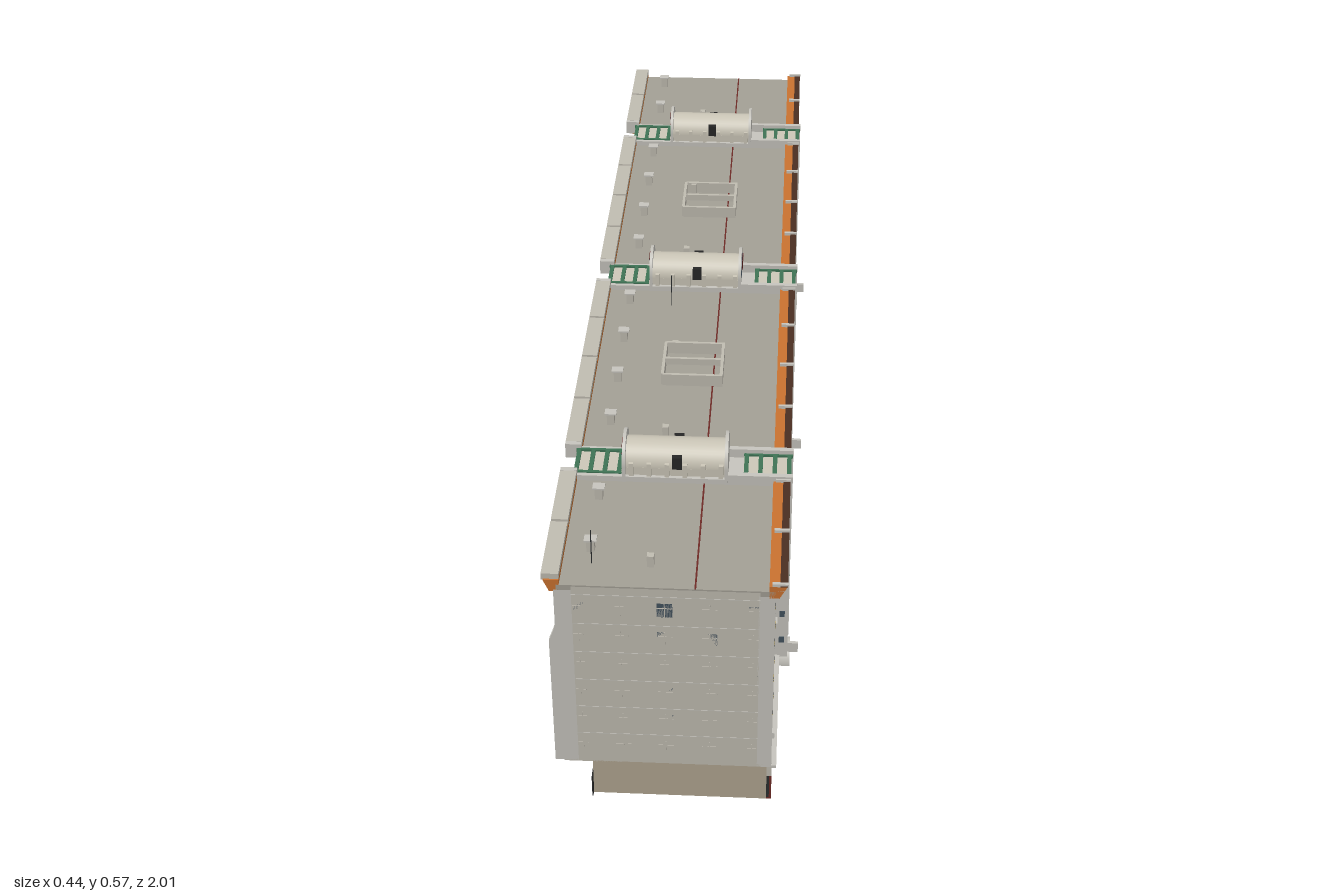
import * as THREE from 'three';
import { mergeGeometries } from 'three/addons/utils/BufferGeometryUtils.js';

const C = {
  wall: 0xc0bcb1, light: 0xc6c4bd, base: 0xb0a590, roof: 0xa3a095, orange: 0xc97230,
  yellow: 0xb89c4c, red: 0x95503e, green: 0x6f9075, glass: 0x43525e, dark: 0x2b2e2f,
  maroon: 0x6e2a26, frame: 0x3f7355, vault: 0xccc7b8, door: 0x262626, brown: 0x4a2f22,
};
const ROWS = [0, 1, 2, 3, 4, 5].map(i => 0.12 + i * 0.064);
const TOWERS = [-0.6625, 0, 0.6625];
const BLOCKS = [
  [-1, -0.705, ['yellow', 'red']],
  [-0.62, -0.043, ['green', 'green', 'red', 'red']],
  [0.043, 0.62, ['red', 'yellow', 'yellow', 'yellow']],
  [0.705, 1, ['yellow', 'yellow']],
];

// Collects geometry by part name and merges each part into one mesh
function kit(groupName) {
  const parts = new Map();
  const add = (name, color, geo) => {
    if (!parts.has(name)) parts.set(name, { color, list: [] });
    parts.get(name).list.push(geo.index ? geo.toNonIndexed() : geo);
  };
  const box = (name, color, x0, x1, y0, y1, z0, z1) => add(name, color,
    new THREE.BoxGeometry(Math.abs(x1 - x0), Math.abs(y1 - y0), Math.abs(z1 - z0))
      .translate((x0 + x1) / 2, (y0 + y1) / 2, (z0 + z1) / 2));
  // x,y outline swept along z
  const sweep = (name, color, pts, z0, z1) => add(name, color,
    new THREE.ExtrudeGeometry(new THREE.Shape(pts.map(p => new THREE.Vector2(...p))),
      { depth: z1 - z0, bevelEnabled: false }).translate(0, 0, z0));
  const finish = () => {
    const group = new THREE.Group();
    group.name = groupName;
    for (const [name, { color, list }] of parts) {
      const mesh = new THREE.Mesh(mergeGeometries(list), new THREE.MeshStandardMaterial({ color }));
      mesh.name = name;
      group.add(mesh);
    }
    return group;
  };
  return { add, box, sweep, finish };
}

// Window with cross bars on a facade facing x (side s)
function sideWindow(k, x, s, y, z, w, h) {
  k.box('windows', C.glass, x, x + s * 0.002, y - h / 2, y + h / 2, z - w / 2, z + w / 2);
  k.box('windowBars', C.light, x, x + s * 0.003, y - h / 2, y + h / 2, z - 0.001, z + 0.001);
  k.box('windowSills', C.light, x, x + s * 0.005, y - h / 2 - 0.003, y - h / 2, z - w / 2 - 0.002, z + w / 2 + 0.002);
}

// Half of a facade module: a window bay and a stack of balconies
function facadeUnit(k, s, z0, z1, color, flip, seed) {
  const fx = d => (s > 0 ? 0.15 + d : -0.17 - d);
  const at = t => (flip ? z1 - (z1 - z0) * t : z0 + (z1 - z0) * t);
  const tint = C[color];
  k.box(color + 'Bay', tint, fx(0), fx(0.018), 0.084, 0.478, at(0.03), at(0.5));
  k.box(color + 'Pier', tint, fx(0), fx(0.022), 0.084, 0.478, at(0.5), at(0.54));
  k.box(color + 'Pier', tint, fx(0), fx(0.022), 0.084, 0.478, at(0.97), at(1));
  k.box(color + 'Back', tint, fx(0), fx(0.002), 0.084, 0.478, at(0.54), at(0.97));
  ROWS.forEach((y, i) => {
    sideWindow(k, fx(0.018), s, y, at(0.27), 0.046, 0.03);
    // balcony door, slab and railing
    sideWindow(k, fx(0.002), s, y - 0.002, at(0.755), 0.052, 0.046);
    k.box(color + 'Slab', tint, fx(0), fx(0.026), y - 0.034, y - 0.02, at(0.52), at(0.99));
    if (i < 5) {
      k.box('railings', C.dark, fx(0.024), fx(0.026), y - 0.006, y - 0.003, at(0.53), at(0.98));
      for (let j = 0; j < 9; j++) {
        const z = at(0.55 + j * 0.052);
        k.box('railings', C.dark, fx(0.024), fx(0.0255), y - 0.02, y - 0.004, z - 0.0012, z + 0.0012);
      }
    }
    if ((i * 5 + seed * 3) % 7 === 0)
      k.box('coolingUnits', C.light, fx(0.018), fx(0.03), y - 0.03, y - 0.017, at(0.42), at(0.54));
  });
  k.box(color + 'Lintel', tint, fx(0), fx(0.02), 0.462, 0.478, at(0.52), at(0.99));
}

function buildBlock([z0, z1, colors], index) {
  const k = kit('apartmentBlock');
  const step = (z1 - z0) / colors.length;
  k.box('core', C.wall, -0.17, 0.15, 0.08, 0.486, z0, z1);
  k.box('floorSlab', C.wall, -0.195, 0.172, 0.078, 0.086, z0, z1);
  k.box('roof', C.roof, -0.195, 0.175, 0.478, 0.489, z0, z1);
  // flared cornices and back parapet
  k.sweep('cornice', C.orange, [[0.165, 0.475], [0.182, 0.475], [0.195, 0.5], [0.165, 0.5]], z0, z1);
  k.box('corniceCap', C.brown, 0.183, 0.196, 0.5, 0.502, z0, z1);
  k.sweep('cornice', C.orange, [[-0.19, 0.475], [-0.19, 0.499], [-0.217, 0.499], [-0.207, 0.475]], z0, z1);
  colors.forEach((c, i) => {
    const a = z0 + i * step;
    for (const s of [1, -1]) facadeUnit(k, s, a, a + step, c, i % 2 === 1, i + index * 2 + (s > 0 ? 0 : 3));
    k.box('parapet', C.wall, -0.22, -0.19, 0.497, 0.51, a + 0.003, a + step - 0.003);
  });
  // dividing fins, bulging on the back
  for (let i = 0; i <= colors.length; i += 2) {
    const z = Math.min(Math.max(z0 + i * step, z0 + 0.005), z1 - 0.005);
    k.sweep('backFins', C.light, [[-0.165, 0.08], [-0.165, 0.478], [-0.2, 0.478], [-0.2, 0.4], [-0.204, 0.385], [-0.212, 0.363], [-0.212, 0.08]], z - 0.005, z + 0.005);
    k.box('frontFins', C.light, 0.148, 0.176, 0.08, 0.478, z - 0.005, z + 0.005);
  }
  // cornice brackets
  for (let i = 0; i <= colors.length; i++) {
    const z = Math.min(Math.max(z0 + i * step, z0 + 0.003), z1 - 0.003);
    k.box('brackets', C.light, 0.17, 0.197, 0.49, 0.506, z - 0.003, z + 0.003);
  }
  // windows of the open gable end
  const dir = index === 0 ? -1 : index === 3 ? 1 : 0;
  if (dir) for (const y of ROWS) {
    for (const x of [-0.16, -0.088, -0.012, 0.065, 0.14]) {
      const w = Math.abs(x) > 0.13 ? 0.009 : 0.0135;
      k.box('gableWindows', C.glass, x - w, x + w, y - 0.015, y + 0.015, dir, dir * 0.999);
      k.box('gableWindowBars', C.wall, x - 0.0008, x + 0.0008, y - 0.015, y + 0.015, dir, dir * 1.0008);
      k.box('gableWindowBars', C.wall, x - w, x + w, y + 0.004, y + 0.0055, dir, dir * 1.0008);
    }
    k.box('gableJoints', C.light, -0.17, 0.15, y + 0.0285, y + 0.0295, dir, dir * 1.0006);
  }
  // roof vents, painted line and framed hatch
  k.box('roofLine', C.maroon, 0.039, 0.042, 0.489, 0.49, z0, z1);
  colors.forEach((c, i) => {
    const z = z0 + (i + 0.35) * step;
    k.box('vents', C.wall, -0.152, -0.138, 0.489, 0.512, z - 0.007, z + 0.007);
    k.box('ventCaps', C.light, -0.156, -0.134, 0.512, 0.515, z - 0.009, z + 0.009);
    if (i % 2) k.box('vents', C.wall, -0.045, -0.033, 0.489, 0.512, z + 0.03, z + 0.042);
  });
  if (colors.length === 4) {
    const m = Math.sign(z0 + z1) * 0.335;
    for (const d of [-0.057, 0, 0.057]) {
      k.box('roofFrame', C.wall, -0.057, 0.06, d ? 0.489 : 0.5, 0.514, m + d - 0.003, m + d + 0.003);
      if (d) k.box('roofFrame', C.wall, d - 0.003, d + 0.003, 0.489, 0.514, m - 0.057, m + 0.057);
    }
  }
  return k.finish();
}

// Half cylinder, axis along x, round side up
const halfDrum = (r, x0, x1, y, z) => new THREE.CylinderGeometry(r, r, x1 - x0, 20, 1, false, 0, Math.PI)
  .rotateZ(Math.PI / 2).translate((x0 + x1) / 2, y, z);

function buildTower(c) {
  const k = kit('stairTower');
  k.box('shaft', C.light, -0.172, 0.178, 0.08, 0.492, c - 0.043, c + 0.043);
  for (const s of [-1, 1]) {
    const z = c + s * 0.04;
    // full-width side walls rising over the roof
    k.box('sideWalls', C.light, 0.08, 0.2, 0.08, 0.51, z - 0.005, z + 0.005);
    k.box('sideWalls', C.light, -0.2, 0.08, 0.08, 0.5, z - 0.005, z + 0.005);
    k.box('sideWalls', C.light, -0.22, -0.19, 0.48, 0.51, z - 0.005, z + 0.005);
    for (const y of ROWS) k.box('slitWindows', C.glass, 0.183, 0.193, y - 0.003, y + 0.011, z, z + s * 0.0062);
    // buttresses of the vault
    for (let i = 0; i < 6; i++) {
      const x = -0.092 + i * 0.0325;
      k.box('buttresses', C.vault, x - 0.004, x + 0.004, 0.5, 0.527, c + s * 0.03, c + s * 0.043);
    }
    k.box('vaultDoor', C.door, -0.018, 0, 0.515, 0.54, c + s * 0.02, c + s * 0.0395);
    // glazed roof strips over the stairs
    k.box('roofGlass', C.vault, s * 0.11, s * 0.197, 0.492, 0.498, c - 0.035, c + 0.035);
    for (let i = 0; i < 4; i++) {
      const x = s * (0.115 + i * 0.026);
      k.box('roofBars', C.frame, x - 0.004, x + 0.004, 0.495, 0.502, c - 0.036, c + 0.036);
    }
    for (const d of [-0.034, 0.034]) k.box('roofBars', C.frame, s * 0.11, s * 0.199, 0.495, 0.502, c + d - 0.003, c + d + 0.003);
  }
  // vaulted rooftop hall with gables
  k.box('vaultBase', C.vault, -0.105, 0.08, 0.485, 0.516, c - 0.038, c + 0.038);
  k.add('vault', C.vault, halfDrum(0.038, -0.105, 0.08, 0.515, c));
  for (const [x, s] of [[-0.105, -1], [0.08, 1]]) {
    k.add('gables', C.light, halfDrum(0.046, x - 0.003, x + 0.003, 0.521, c));
    k.box('gables', C.light, x - 0.003, x + 0.003, 0.485, 0.521, c - 0.046, c + 0.046);
    if (s < 0 || c === 0) {
      k.add('lunettes', C.glass, halfDrum(0.035, x + s * 0.003 - 0.001, x + s * 0.003 + 0.001, 0.521, c));
      for (const a of [-1, -0.5, 0, 0.5, 1]) k.add('lunetteBars', C.maroon,
        new THREE.BoxGeometry(0.002, 0.034, 0.002).translate(0, 0.017, 0).rotateX(a).translate(x + s * 0.0045, 0.521, c));
    }
  }
  // zigzag bracing on the front, landing windows on the back
  for (let i = 0; i < 7; i++) {
    const y = 0.115 + i * 0.052, a = Math.atan2(0.052, 0.046);
    k.add('zigzag', C.dark, new THREE.BoxGeometry(0.003, 0.003, Math.hypot(0.052, 0.046))
      .rotateX(i % 2 ? a : -a).translate(0.179, y + 0.026, c));
    k.box('landings', C.dark, 0.178, 0.18, y - 0.001, y + 0.001, c - 0.023, c + 0.023);
  }
  for (const s of [-1, 1]) k.box('zigzagFrame', C.dark, 0.178, 0.18, 0.1, 0.48, c + s * 0.024 - 0.001, c + s * 0.024 + 0.001);
  for (const y of ROWS) sideWindow(k, -0.172, -1, y, c, 0.034, 0.03);
  // street entrance with rounded canopy
  for (const s of [-1, 1]) k.box('entranceColumns', C.light, 0.17, 0.185, 0, 0.06, c + s * 0.027, c + s * 0.042);
  k.box('entranceDoor', C.door, 0.168, 0.178, 0, 0.05, c - 0.027, c + 0.027);
  k.add('canopy', C.light, halfDrum(0.034, 0.17, 0.205, 0.046, c));
  k.box('hangingSign', C.light, 0.198, 0.22, 0.09, 0.112, c + 0.036, c + 0.042);
  // courtyard porch
  for (const s of [-1, 1]) k.box('porchWalls', C.light, -0.205, -0.145, 0, 0.08, c + s * 0.034, c + s * 0.045);
  k.box('porchRoof', C.light, -0.205, -0.145, 0.07, 0.082, c - 0.045, c + 0.045);
  k.box('porchFloor', C.base, -0.205, -0.145, 0, 0.003, c - 0.045, c + 0.045);
  k.box('porchDoor', C.door, -0.152, -0.145, 0, 0.07, c - 0.034, c + 0.034);
  return k.finish();
}

function buildGroundFloor() {
  const k = kit('groundFloor');
  k.box('plinth', C.base, -0.145, 0.168, 0, 0.08, -1, 1);
  k.box('shopGlass', C.dark, 0.168, 0.173, 0.004, 0.058, -1, 1);
  k.box('blueShopGlass', C.glass, 0.173, 0.176, 0.006, 0.055, 0.335, 0.61);
  k.box('signBand', C.wall, 0.168, 0.177, 0.058, 0.08, -1, 1);
  k.box('ledge', C.light, 0.168, 0.185, 0.078, 0.084, -1, 1);
  for (let i = 0; i <= 28; i++) {
    const z = -0.997 + i * 0.0712;
    k.box('shopPiers', i % 2 ? C.dark : C.maroon, 0.168, 0.177, 0, 0.06, z - 0.003, z + 0.003);
    if (i % 3 === 1) k.box('rearDoors', C.door, -0.147, -0.145, 0.003, 0.05, z - 0.015, z + 0.015);
  }
  // shop awnings
  const slope = [[0.175, 0.062], [0.202, 0.05], [0.202, 0.054], [0.175, 0.07]];
  k.sweep('greenAwning', C.frame, slope, 0.335, 0.47);
  k.sweep('greyAwning', C.light, slope, 0.48, 0.61);
  return k.finish();
}

export function createModel() {
  const model = new THREE.Group();
  model.name = 'apartmentBuilding';
  model.add(buildGroundFloor(), ...BLOCKS.map(buildBlock), ...TOWERS.map(buildTower));
  // roof aerials
  const k = kit('aerials');
  for (const [x, z] of [[-0.14, 0.94], [-0.058, 0.1]])
    k.add('aerial', C.dark, new THREE.CylinderGeometry(0.001, 0.001, 0.072, 6).translate(x, 0.524, z));
  model.add(k.finish());
  return model;
}
